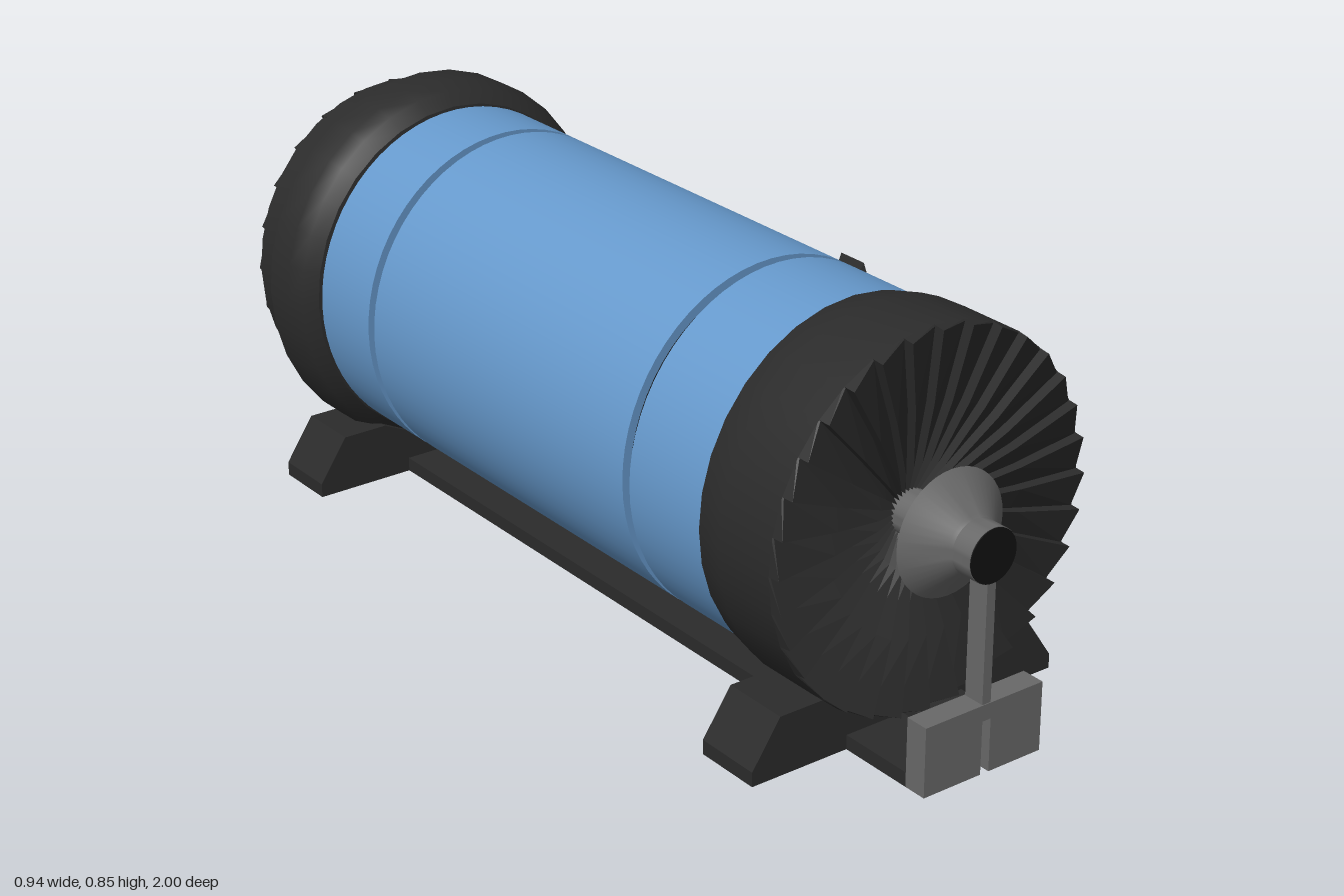
import * as THREE from 'three';
import { toCreasedNormals } from 'three/addons/utils/BufferGeometryUtils.js';

const mat = (color, flatShading = false) =>
  new THREE.MeshStandardMaterial({ color, flatShading, side: THREE.DoubleSide });
const DARK = mat(0x2b2b2b), DARK_FLAT = mat(0x2b2b2b, true), BLACK = mat(0x111111);
const BLUE = mat(0x6699cc), GREY = mat(0x686868), LIGHT = mat(0xcccccc);
const CX = -0.08, CY = 0.44;

function add(parent, name, geometry, material, x = 0, y = 0, z = 0) {
  const mesh = new THREE.Mesh(geometry, material);
  mesh.name = name;
  mesh.position.set(x, y, z);
  parent.add(mesh);
  return mesh;
}

// box given by its min and max corners
function box(parent, name, material, [x0, y0, z0], [x1, y1, z1]) {
  return add(parent, name, new THREE.BoxGeometry(x1 - x0, y1 - y0, z1 - z0), material,
    (x0 + x1) / 2, (y0 + y1) / 2, (z0 + z1) / 2);
}

// cylinder along z
function drumSection(parent, name, material, r, z0, z1, sides = 64) {
  const g = new THREE.CylinderGeometry(r, r, z1 - z0, sides).rotateX(Math.PI / 2);
  return add(parent, name, g, material, 0, 0, (z0 + z1) / 2);
}

// lathe around z, points are [radius, z] with z rising
function turned(parent, name, material, points, sides = 32) {
  const g = new THREE.LatheGeometry(points.map(p => new THREE.Vector2(...p)), sides).rotateX(Math.PI / 2);
  return add(parent, name, toCreasedNormals(g, 0.5), material);
}

// ring of saw-tooth blades, profile points are [radius, z, step]
function bladedFace(parent, name, count, profile) {
  const pos = [], index = [], n = profile.length;
  for (let i = 0; i < count; i++) {
    for (let edge = 0; edge < 2; edge++) {
      const a = (i + edge) / count * Math.PI * 2;
      for (const [r, z, step] of profile) pos.push(r * Math.cos(a), r * Math.sin(a), z + step * edge);
    }
  }
  const columns = count * 2;
  for (let c = 0; c < columns; c++) {
    const a = c * n, b = ((c + 1) % columns) * n;
    for (let j = 0; j < n - 1; j++) index.push(a + j, b + j, b + j + 1, a + j, b + j + 1, a + j + 1);
  }
  const g = new THREE.BufferGeometry();
  g.setAttribute('position', new THREE.Float32BufferAttribute(pos, 3));
  g.setIndex(index);
  const flat = g.toNonIndexed();
  flat.computeVertexNormals();
  return add(parent, name, flat, DARK_FLAT);
}

function extruded(parent, name, material, points, z0, z1) {
  const shape = new THREE.Shape(points.map(p => new THREE.Vector2(...p)));
  return add(parent, name, new THREE.ExtrudeGeometry(shape, { depth: z1 - z0, bevelEnabled: false }),
    material, 0, 0, z0);
}

// four-sided loft through a list of rings, each ring holding four corners; last ring is closed
function loft(parent, name, material, rings) {
  const index = [];
  for (let r = 0; r < rings.length - 1; r++) {
    for (let k = 0; k < 4; k++) {
      const a = r * 4 + k, b = r * 4 + (k + 1) % 4;
      index.push(a, b, b + 4, a, b + 4, a + 4);
    }
  }
  const e = (rings.length - 1) * 4;
  index.push(e, e + 1, e + 2, e, e + 2, e + 3);
  const g = new THREE.BufferGeometry();
  g.setAttribute('position', new THREE.Float32BufferAttribute(rings.flat(2), 3));
  g.setIndex(index);
  const flat = g.toNonIndexed();
  flat.computeVertexNormals();
  return add(parent, name, flat, material);
}

// corners of a trapezoid facing +x: bottom and top edges given as [x, y, half width]
const ZP = 0.018;
const trapezoid = ([xb, yb, wb], [xt, yt, wt]) =>
  [[xb, yb, ZP + wb], [xb, yb, ZP - wb], [xt, yt, ZP - wt], [xt, yt, ZP + wt]];

// flared display head with a framed, slightly sunken panel
function displayHead(parent, name, panelMaterial, back, root, rim, frame) {
  const head = new THREE.Group();
  head.name = name;
  parent.add(head);
  const [b, t] = rim;
  const f = frame / (t[1] - b[1]);
  const mix = (p, q, s) => p + (q - p) * s;
  const inner = sink => trapezoid(
    [mix(b[0], t[0], f) - sink, b[1] + frame, mix(b[2], t[2], f) - frame],
    [mix(t[0], b[0], f) - sink, t[1] - frame, mix(t[2], b[2], f) - frame]);
  loft(head, name + 'Housing', DARK_FLAT,
    [trapezoid(...back), trapezoid(...root), trapezoid(...rim), inner(0), inner(0.012)]);
  loft(head, name + 'Panel', panelMaterial, [inner(0.01)]);
  loft(head, name + 'Back', DARK_FLAT, [trapezoid(...back)]);
}

export function createModel() {
  const model = new THREE.Group();
  model.name = 'drumMachine';

  // drum, slightly taller than wide
  const drum = new THREE.Group();
  drum.name = 'drum';
  drum.position.set(CX, CY, 0);
  drum.scale.y = 1.045;
  model.add(drum);
  drumSection(drum, 'innerCore', BLACK, 0.328, -0.75, 0.7);
  [[-0.692, -0.51], [-0.488, 0.37], [0.392, 0.607]].forEach(([z0, z1], i) =>
    drumSection(drum, 'bluePanel' + (i + 1), BLUE, 0.346, z0, z1));

  // front cap
  turned(drum, 'frontCapRing', DARK, [[0.325, 0.605], [0.35, 0.607], [0.358, 0.635], [0.365, 0.68], [0.365, 0.825]]);
  bladedFace(drum, 'frontBlades', 32,
    [[0.365, 0.822, 0], [0.362, 0.826, 0.024], [0.22, 0.81, 0.022], [0.1, 0.785, 0.02], [0.04, 0.765, 0.015]]);

  // rear collar and cap
  turned(drum, 'rearCollar', DARK,
    [[0.345, -0.835], [0.388, -0.832], [0.388, -0.76], [0.375, -0.725], [0.35, -0.7], [0.325, -0.695]]);
  turned(drum, 'rearCapRing', DARK, [[0.345, -0.945], [0.345, -0.82]]);
  bladedFace(drum, 'rearBlades', 24,
    [[0.345, -0.935, 0], [0.342, -0.94, -0.018], [0.24, -0.966, -0.016], [0.145, -0.99, -0.01], [0.135, -0.988, 0]]);
  turned(drum, 'rearHubDish', DARK,
    [[0.001, -0.88], [0.035, -0.88], [0.04, -0.945], [0.06, -0.945], [0.085, -0.925], [0.115, -0.93], [0.136, -0.988]]);

  // front hub and its support
  const support = new THREE.Group();
  support.name = 'frontSupport';
  model.add(support);
  const hub = turned(support, 'frontHub', GREY,
    [[0.045, 0.74], [0.045, 0.815], [0.126, 0.885], [0.06, 0.945], [0.055, 0.952], [0.055, 0.998], [0.001, 0.998]], 40);
  hub.position.set(CX, CY, 0);
  const axle = drumSection(support, 'axleEnd', BLACK, 0.054, 0.96, 1, 40);
  axle.position.x = CX;
  axle.position.y = CY;
  box(support, 'strut', GREY, [CX - 0.01, 0.13, 0.952], [CX + 0.01, 0.4, 0.998]);
  extruded(support, 'slottedBlock', GREY, [[-0.225, 0], [-0.09, 0], [-0.09, 0.11], [-0.07, 0.11],
    [-0.07, 0], [0.055, 0], [0.055, 0.143], [-0.225, 0.143]], 0.95, 1);

  // base rails and feet
  const base = new THREE.Group();
  base.name = 'base';
  model.add(base);
  box(base, 'rightRail', DARK, [-0.225, 0, -0.835], [-0.09, 0.03, 0.95]);
  box(base, 'leftRail', DARK, [-0.07, 0, -0.835], [0.055, 0.03, 0.95]);
  const half = [[0.01, 0], [0.363, 0], [0.363, 0.03], [0.3, 0.123], [0.2, 0.123], [0.1, 0.075], [0.01, 0.065]];
  const foot = [...half, ...half.map(([x, y]) => [-x, y]).reverse()].map(([x, y]) => [x + CX - 0.002, y]);
  foot.pop();
  foot.shift();
  // notch over the gap between the rails
  foot.push([-0.092, 0], [-0.092, 0.032], [-0.07, 0.032], [-0.07, 0]);
  extruded(base, 'frontFoot', DARK, foot, 0.64, 0.785);
  extruded(base, 'rearFoot', DARK, foot, -0.84, -0.7);

  // side arm, post and two display heads
  const stand = new THREE.Group();
  stand.name = 'sideStand';
  model.add(stand);
  box(stand, 'arm', DARK, [0.05, 0, -0.025], [0.33, 0.03, 0.06]);
  box(stand, 'postFoot', DARK, [0.315, 0, -0.03], [0.38, 0.04, 0.066]);
  box(stand, 'post', BLACK, [0.325, 0.04, -0.01], [0.37, 0.38, 0.046]);
  displayHead(stand, 'upperDisplay', LIGHT,
    [[0.317, 0.37, 0.045], [0.336, 0.5, 0.03]],
    [[0.372, 0.37, 0.045], [0.38, 0.5, 0.03]],
    [[0.46, 0.33, 0.093], [0.417, 0.572, 0.036]], 0.014);
  box(stand, 'upperDisplayBase', DARK, [0.318, 0.368, -0.025], [0.372, 0.374, 0.06]);
  displayHead(stand, 'lowerDisplay', DARK,
    [[0.316, 0.197, 0.04], [0.318, 0.27, 0.04]],
    [[0.38, 0.197, 0.04], [0.378, 0.27, 0.04]],
    [[0.468, 0.185, 0.174], [0.435, 0.285, 0.174]], 0.012);

  return model;
}
